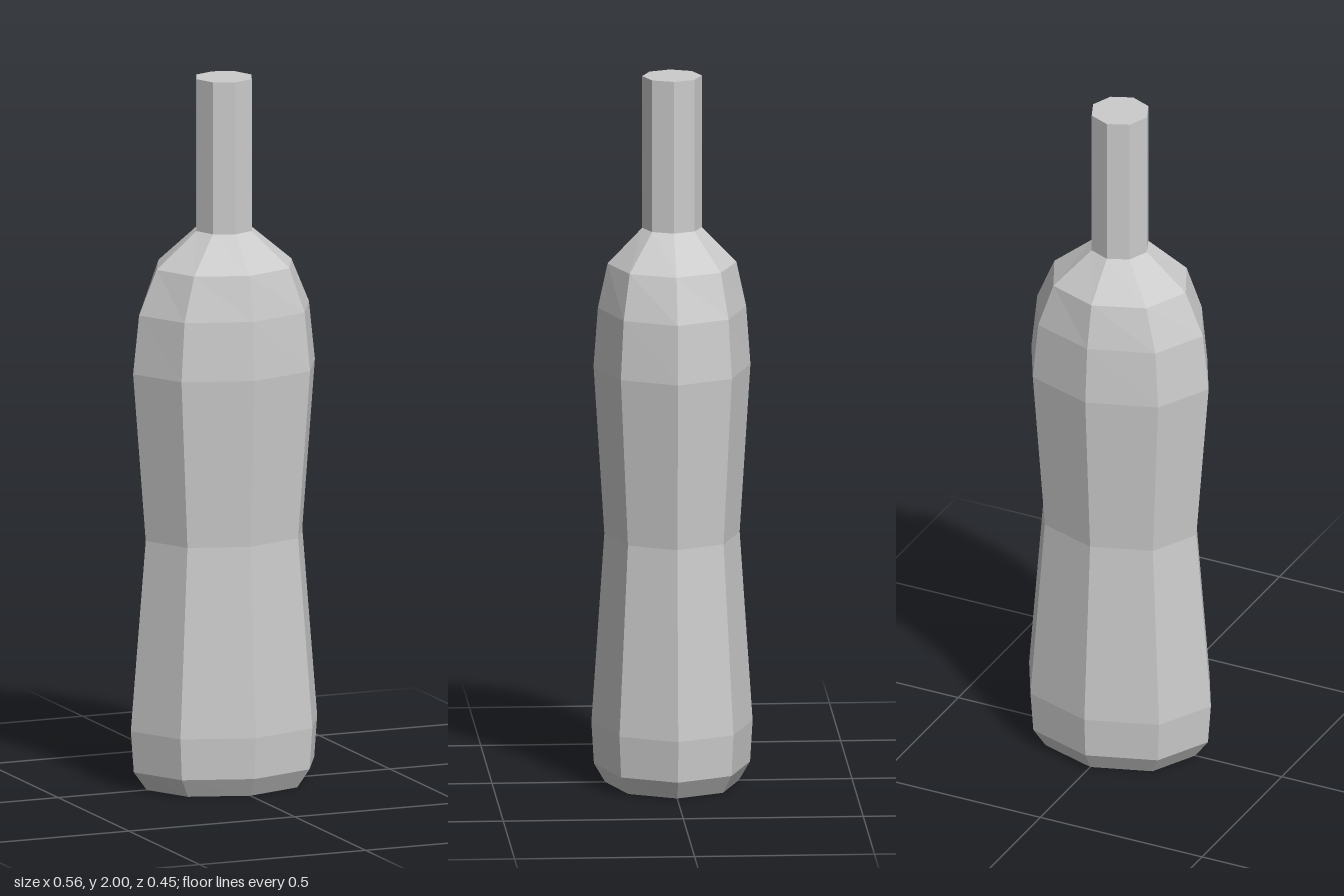
import * as THREE from 'three';

const SIDES = 8;

// Faceted oval shell from rings of [height, half width (x), half depth (z)]
function ovalLathe(name, rings, material) {
  const geometry = new THREE.LatheGeometry(
    rings.map(([y, rx]) => new THREE.Vector2(rx, y)), SIDES);
  const pos = geometry.attributes.position;
  for (let i = 0; i < pos.count; i++) {
    const [, rx, rz] = rings[i % rings.length];
    if (rx > 0) pos.setZ(i, pos.getZ(i) * rz / rx);
  }
  geometry.computeVertexNormals();
  const mesh = new THREE.Mesh(geometry, material);
  mesh.name = name;
  return mesh;
}

export function createModel() {
  const group = new THREE.Group();
  group.name = 'bottle';
  const material = new THREE.MeshStandardMaterial({ color: 0xcccccc, flatShading: true });

  // Body: closed base, bevelled foot, pinched waist, sloping shoulders
  group.add(ovalLathe('body', [
    [0, 0, 0],
    [0, 0.233, 0.186],
    [0.053, 0.272, 0.217],
    [0.17, 0.281, 0.224],
    [0.705, 0.236, 0.188],
    [1.18, 0.274, 0.218],
    [1.345, 0.256, 0.206],
    [1.47, 0.203, 0.179],
    [1.57, 0.083, 0.083],
  ], material));

  // Neck: straight round tube with a flat top
  group.add(ovalLathe('neck', [
    [1.57, 0.083, 0.083],
    [2, 0.083, 0.083],
    [2, 0, 0],
  ], material));

  return group;
}
